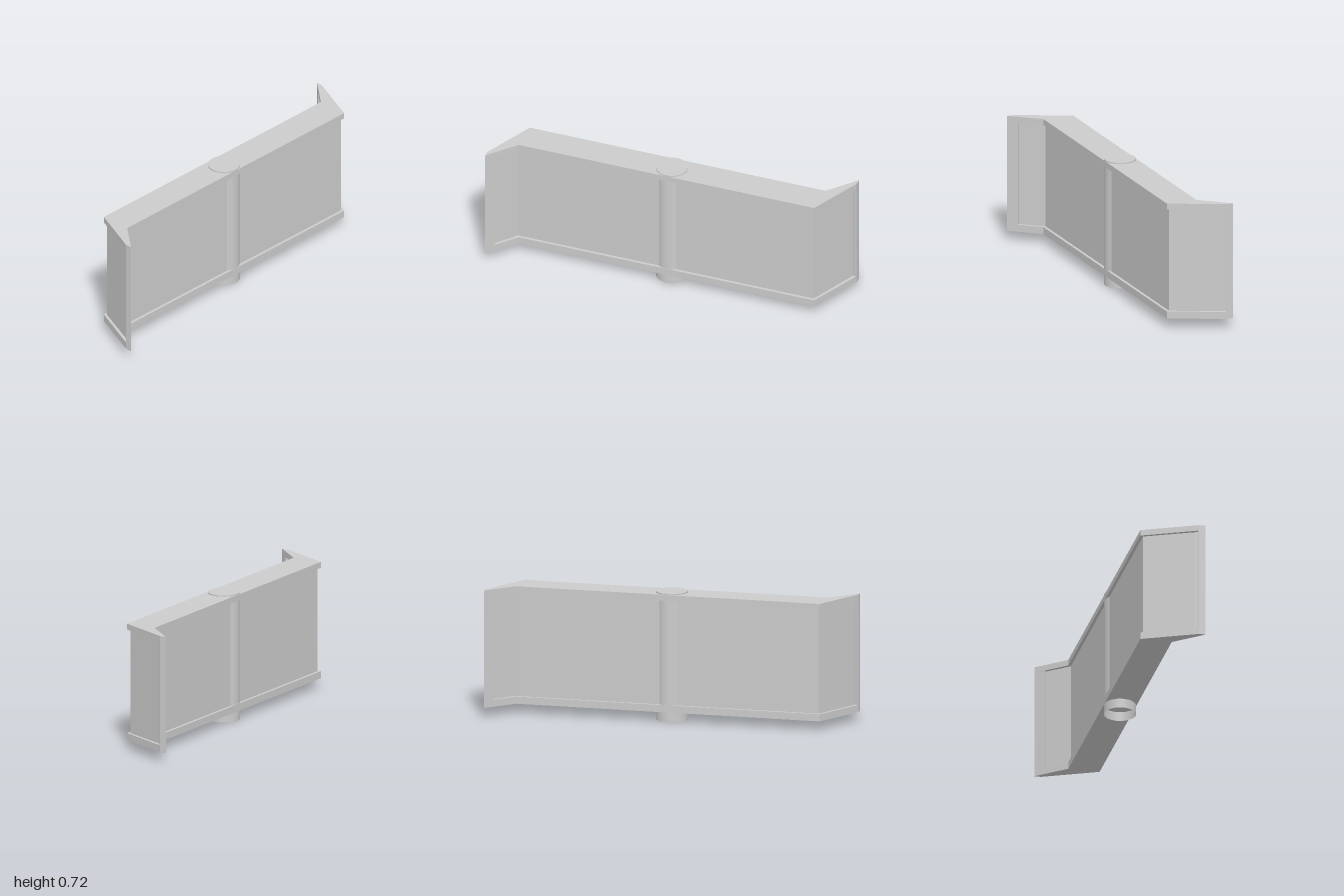
import * as THREE from 'three';

const material = new THREE.MeshStandardMaterial({ color: 0xcccccc, flatShading: true });
const postMaterial = new THREE.MeshStandardMaterial({ color: 0xcccccc, side: THREE.DoubleSide });

// Upright prism from half a plan outline (x, z); the other half is turned 180 degrees about y
function prism(name, half, bottom, top) {
  const plan = [...half, ...half.map(([x, z]) => [-x, -z])];
  const shape = new THREE.Shape(plan.map(([x, z]) => new THREE.Vector2(x, -z)));
  const geometry = new THREE.ExtrudeGeometry(shape, { depth: top - bottom, bevelEnabled: false });
  geometry.rotateX(-Math.PI / 2);
  geometry.translate(0, bottom, 0);
  const mesh = new THREE.Mesh(geometry, material);
  mesh.name = name;
  return mesh;
}

export function createModel() {
  const group = new THREE.Group();
  group.name = 'revolvingDoor';

  // Full plan of the rails: straight middle with a tapered wing at each end
  const rail = [[0.863, -0.088], [1, -0.247], [1, -0.21], [0.863, 0.088]];

  // Recessed panels, ending in a full-thickness stile at each wing tip
  const panel = [
    [0.872, -0.072], [0.969, -0.189], [0.96, -0.2], [1, -0.247], [1, -0.21],
    [0.996, -0.204], [0.981, -0.211], [0.972, -0.189], [0.854, 0.072],
  ];

  group.add(
    prism('bottomRail', rail, 0.053, 0.093),
    prism('panelsAndStiles', panel, 0.093, 0.677),
    prism('topRail', rail, 0.677, 0.71),
  );

  // Central pivot post, hollow and open at the foot
  const radius = 0.088, height = 0.717;
  const post = new THREE.Mesh(new THREE.CylinderGeometry(radius, radius, height, 32, 1, true), postMaterial);
  post.name = 'pivotPost';
  post.position.y = height / 2;

  const cap = new THREE.Mesh(new THREE.CircleGeometry(radius, 32), postMaterial);
  cap.name = 'pivotCap';
  cap.rotation.x = -Math.PI / 2;
  cap.position.y = height;
  group.add(post, cap);

  return group;
}
